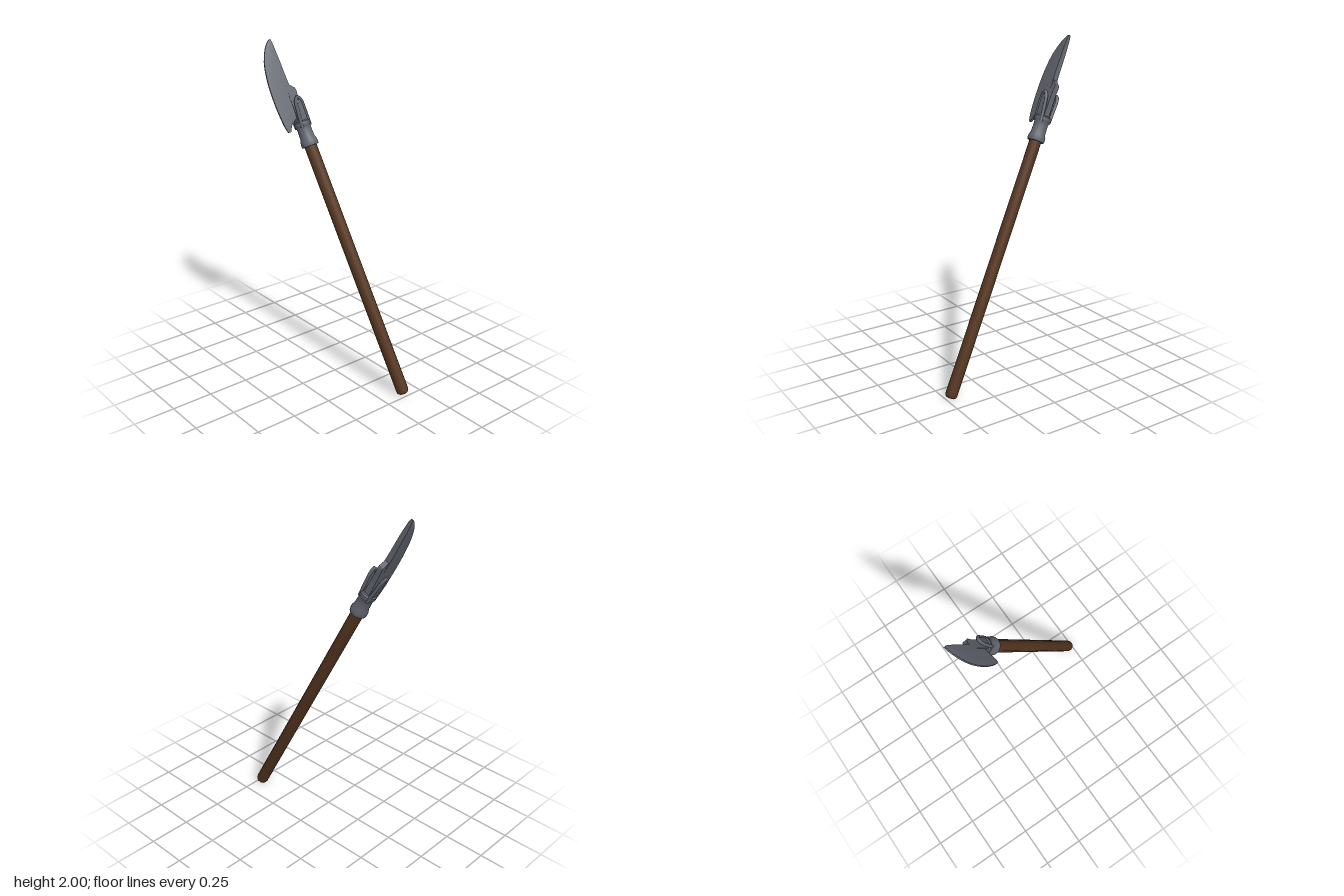
import * as THREE from 'three';
import { toCreasedNormals } from 'three/addons/utils/BufferGeometryUtils.js';

const wood = new THREE.MeshStandardMaterial({ color: 0x573620 });
wood.name = 'brown wood';
const steel = new THREE.MeshStandardMaterial({ color: 0x62666f });
steel.name = 'grey steel';

function add(parent, name, geometry, material) {
  const mesh = new THREE.Mesh(geometry, material);
  mesh.name = name;
  parent.add(mesh);
  return mesh;
}

// Surface of revolution around the shaft axis from [radius, height] pairs
function turned(points, sides) {
  const profile = points.map(([r, y]) => new THREE.Vector2(r, y));
  return toCreasedNormals(new THREE.LatheGeometry(profile, sides), 0.7);
}

// Closed skin through equal-length loops stacked upwards, with end caps
function loft(loops) {
  const pos = [];
  const tri = (a, b, c) => pos.push(...a, ...b, ...c);
  const n = loops[0].length;
  for (let i = 0; i < loops.length - 1; i++) {
    for (let j = 0; j < n; j++) {
      const k = (j + 1) % n;
      const lo = loops[i], hi = loops[i + 1];
      tri(lo[j], lo[k], hi[k]);
      tri(lo[j], hi[k], hi[j]);
    }
  }
  const bottom = loops[0], top = loops[loops.length - 1];
  for (let j = 1; j < n - 1; j++) {
    tri(bottom[0], bottom[j + 1], bottom[j]);
    tri(top[0], top[j], top[j + 1]);
  }
  const g = new THREE.BufferGeometry();
  g.setAttribute('position', new THREE.Float32BufferAttribute(pos, 3));
  g.computeVertexNormals();
  return toCreasedNormals(g, 0.5);
}

// Blade section at height s: thick along the back, thin at the cutting edge
function bladeLoop([s, back, edge, half]) {
  const mid = back + (edge - back) * 0.5;
  const thin = Math.min(0.004, half);
  return [[thin, s, edge], [half * 0.85, s, mid], [half, s, back],
    [-half, s, back], [-half * 0.85, s, mid], [-thin, s, edge]];
}

export function createModel() {
  const model = new THREE.Group();
  model.name = 'polearm';

  // Everything is built upright along +y, then leaned over
  const weapon = new THREE.Group();
  weapon.name = 'leaningWeapon';
  model.add(weapon);

  add(weapon, 'shaft', turned([[0, 0], [0.024, 0], [0.033, 0.007], [0.037, 0.02],
    [0.037, 1.62], [0, 1.62]], 10), wood);

  // Socket collar with a flared foot and a rolled rim
  add(weapon, 'socket', turned([[0.036, 1.565], [0.05, 1.565], [0.052, 1.575], [0.051, 1.595],
    [0.044, 1.615], [0.042, 1.66], [0.044, 1.685], [0.049, 1.692], [0.049, 1.71],
    [0.042, 1.718], [0, 1.718]], 16), steel);

  // Blade rows: height, back, edge, half thickness
  const rows = [
    [1.676, 0.099, 0.114, 0.006], [1.70, 0.085, 0.121, 0.008], [1.72, 0.07, 0.125, 0.01],
    [1.738, 0.036, 0.127, 0.012], [1.745, 0.0, 0.128, 0.014], [1.782, -0.005, 0.131, 0.016],
    [1.84, -0.005, 0.134, 0.017], [1.906, 0.0, 0.133, 0.017], [1.96, 0.003, 0.13, 0.017],
    [2.006, 0.004, 0.124, 0.016], [2.06, 0.004, 0.114, 0.016], [2.104, 0.004, 0.1, 0.015],
    [2.145, 0.005, 0.081, 0.014], [2.181, 0.005, 0.058, 0.012], [2.205, 0.005, 0.037, 0.01],
    [2.222, 0.006, 0.016, 0.006],
  ];
  add(weapon, 'blade', loft(rows.map(bladeLoop)), steel);

  // Tang behind the blade, ending in a small hooked shoulder
  const tang = [[1.69, -0.026, 0.035, 0.02], [1.78, -0.027, 0.03, 0.018],
    [1.86, -0.028, 0.03, 0.017], [1.895, -0.034, 0.03, 0.016],
    [1.912, -0.03, 0.03, 0.015], [1.94, 0.0, 0.03, 0.014]];
  add(weapon, 'tang', loft(tang.map(([s, b, e, h]) =>
    [[h, s, e], [h, s, b], [-h, s, b], [-h, s, e]])), steel);

  // Splayed clasps on both faces: a plate framed by an arched band
  for (const side of [1, -1]) {
    const clasp = new THREE.Group();
    clasp.name = side > 0 ? 'leftClasp' : 'rightClasp';
    clasp.position.set(side * 0.03, 1.68, 0);
    clasp.rotation.z = -side * 0.09;
    weapon.add(clasp);

    const arch = new THREE.CatmullRomCurve3([[0, 0.029], [0.09, 0.025], [0.15, 0.019],
      [0.178, 0], [0.15, -0.019], [0.09, -0.025], [0, -0.029]]
      .map(([y, z]) => new THREE.Vector3(0, y, z)));
    add(clasp, 'claspBand', new THREE.TubeGeometry(arch, 28, 0.0105, 6), steel);

    const plate = new THREE.BoxGeometry(0.012, 0.16, 0.04);
    plate.translate(0, 0.08, 0);
    add(clasp, 'claspPlate', plate, steel);
  }

  // Lean the weapon; the blade plane keeps facing forward along z
  const up = new THREE.Vector3(-0.495, 1, 0.1057).normalize();
  const forward = new THREE.Vector3(0, 0, 1).addScaledVector(up, -up.z).normalize();
  const across = new THREE.Vector3().crossVectors(up, forward);
  weapon.quaternion.setFromRotationMatrix(new THREE.Matrix4().makeBasis(across, up, forward));
  weapon.position.set(0.478, 0.012, -0.137);

  return model;
}
